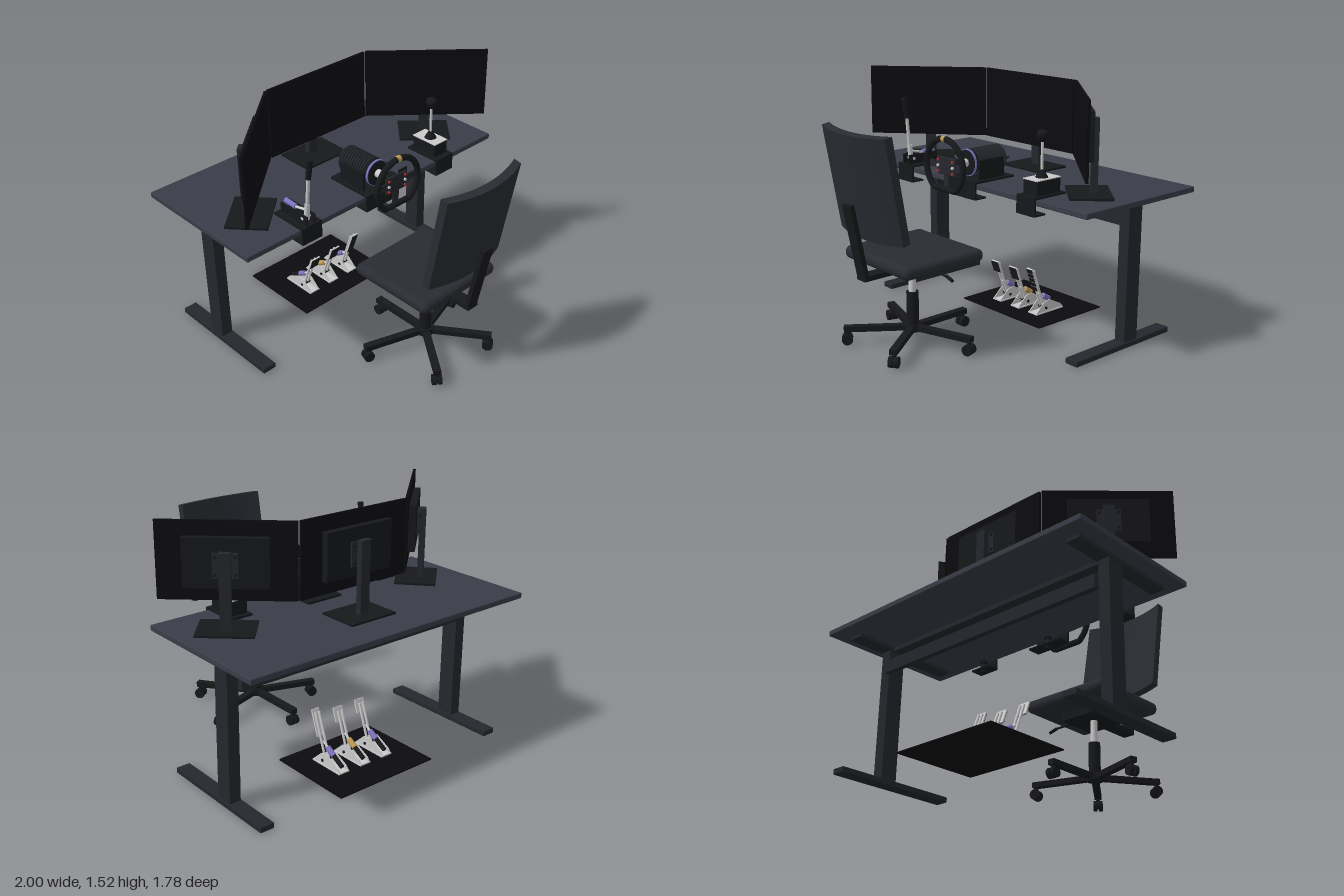
import * as THREE from 'three';
import { RoundedBoxGeometry } from 'three/addons/geometries/RoundedBoxGeometry.js';

const mat = (color, side = THREE.FrontSide) => new THREE.MeshStandardMaterial({ color, side });
const M = {
  desk: mat(0x3a3d48), frame: mat(0x25272d), black: mat(0x17181b), screen: mat(0x0c0c10),
  fabric: mat(0x2a2c33), silver: mat(0xcccccc), purple: mat(0x7d74c0), gold: mat(0xc09a50), red: mat(0xa03030),
};

function add(parent, name, geo, material, x = 0, y = 0, z = 0, rx = 0, ry = 0, rz = 0) {
  const m = new THREE.Mesh(geo, material);
  m.name = name;
  m.position.set(x, y, z);
  m.rotation.set(rx, ry, rz);
  parent.add(m);
  return m;
}
function group(parent, name, x = 0, y = 0, z = 0, ry = 0) {
  const g = new THREE.Group();
  g.name = name;
  g.position.set(x, y, z);
  g.rotation.y = ry;
  parent.add(g);
  return g;
}
// box given by its extents
const span = (p, name, m, x0, x1, y0, y1, z0, z1) =>
  add(p, name, new THREE.BoxGeometry(x1 - x0, y1 - y0, z1 - z0), m, (x0 + x1) / 2, (y0 + y1) / 2, (z0 + z1) / 2);
const cyl = (r, h, r2 = r, n = 24) => new THREE.CylinderGeometry(r2, r, h, n);
// round bar between two points
function rod(p, name, m, a, b, r, r2 = r) {
  const A = new THREE.Vector3(...a), B = new THREE.Vector3(...b), d = B.clone().sub(A);
  const o = add(p, name, cyl(r, d.length(), r2, 16), m);
  o.position.copy(A).add(B).multiplyScalar(0.5);
  o.quaternion.setFromUnitVectors(new THREE.Vector3(0, 1, 0), d.normalize());
  return o;
}

function desk(root) {
  const g = group(root, 'desk');
  add(g, 'deskTop', new RoundedBoxGeometry(2, 0.035, 0.93, 2, 0.006), M.desk, 0, 0.91, -0.425);
  for (const s of [-1, 1]) {
    const leg = group(g, 'deskLeg', s * 0.865);
    span(leg, 'topRail', M.frame, -0.045, 0.045, 0.87, 0.893, -0.79, -0.05);
    span(leg, 'legColumn', M.frame, -0.036, 0.036, 0.035, 0.87, -0.54, -0.43);
    add(leg, 'foot', new RoundedBoxGeometry(0.09, 0.035, 0.815, 2, 0.006), M.frame, 0, 0.0175, -0.4225);
  }
  span(g, 'crossbar', M.frame, -0.83, 0.83, 0.70, 0.78, -0.575, -0.54);
  span(g, 'underRail', M.frame, -0.83, 0.83, 0.865, 0.893, -0.52, -0.45);
}

function monitor(root, x, z, ry) {
  const g = group(root, 'monitor', x, 0, z, ry);
  span(g, 'screen', M.screen, -0.382, 0.382, 1.08, 1.525, -0.008, 0.008);
  span(g, 'screenBack', M.black, -0.235, 0.235, 1.16, 1.44, -0.05, -0.008);
  span(g, 'mountPlate', M.frame, -0.07, 0.07, 1.22, 1.36, -0.062, -0.05);
  span(g, 'standColumn', M.frame, -0.032, 0.032, 0.94, 1.37, -0.1, -0.062);
  for (const s of [-1, 1]) for (const y of [1.24, 1.34])
    add(g, 'mountScrew', cyl(0.008, 0.01, 0.008, 12), M.black, s * 0.055, y, -0.065, Math.PI / 2);
  span(g, 'standBase', M.black, -0.163, 0.163, 0.928, 0.94, -0.18, 0.07);
}

function chair(root) {
  const g = group(root, 'chair', 0, 0, 0.44);
  add(g, 'seat', new RoundedBoxGeometry(0.61, 0.08, 0.58, 5, 0.038), M.fabric, 0, 0.55, -0.015);
  // curved back shell, extruded along its height
  const shape = new THREE.Shape(), W = 0.295, N = 16;
  const bow = (x) => 0.055 * (x / W) ** 2;
  for (let i = 0; i <= N; i++) {
    const x = -W + (2 * W * i) / N;
    if (i) shape.lineTo(x, bow(x)); else shape.moveTo(x, bow(x));
  }
  for (let i = N; i >= 0; i--) {
    const x = -W + (2 * W * i) / N;
    shape.lineTo(x, bow(x) + 0.05);
  }
  const back = new THREE.ExtrudeGeometry(shape, { depth: 0.62, bevelEnabled: false });
  back.rotateX(-Math.PI / 2);
  add(g, 'backrest', back, M.fabric, 0, 0.705, 0.34, 0.178);
  add(g, 'backSupport', new THREE.BoxGeometry(0.08, 0.455, 0.028), M.black, 0, 0.70, 0.392, 0.2);
  span(g, 'backArm', M.black, -0.04, 0.04, 0.467, 0.497, 0.1, 0.365);
  span(g, 'seatPlate', M.black, -0.15, 0.15, 0.467, 0.512, -0.13, 0.14);
  rod(g, 'lever', M.black, [0.14, 0.48, -0.03], [0.29, 0.478, -0.03], 0.007);
  rod(g, 'leverHandle', M.black, [0.28, 0.478, -0.03], [0.345, 0.468, -0.02], 0.01);
  add(g, 'gasLift', cyl(0.022, 0.17), M.silver, 0, 0.39, 0);
  add(g, 'liftSleeve', cyl(0.037, 0.21), M.black, 0, 0.215, 0);
  add(g, 'baseHub', cyl(0.052, 0.045), M.black, 0, 0.0975, 0);
  // five spokes with twin-wheel casters
  for (let i = 0; i < 5; i++) {
    const a = Math.PI + (i * Math.PI * 2) / 5;
    const leg = group(g, 'baseSpoke', 0, 0, 0, a);
    span(leg, 'spokeBar', M.black, -0.022, 0.022, 0.08, 0.113, 0.02, 0.41);
    add(leg, 'casterStem', cyl(0.012, 0.04, 0.012, 12), M.black, 0, 0.07, 0.39);
    for (const s of [-1, 1])
      add(leg, 'casterWheel', cyl(0.033, 0.024), M.black, s * 0.017, 0.033, 0.39, 0, 0, Math.PI / 2);
    add(leg, 'casterAxle', cyl(0.022, 0.02), M.black, 0, 0.036, 0.39, 0, 0, Math.PI / 2);
  }
}

// C-shaped clamp gripping the front edge of the desk top
function clamp(p, w, back) {
  span(p, 'clampTop', M.black, -w, w, 0.928, 0.94, back, 0.055);
  span(p, 'clampFront', M.black, -w, w, 0.83, 0.94, 0.045, 0.057);
  span(p, 'clampLip', M.black, -w, w, 0.83, 0.84, -0.03, 0.057);
  add(p, 'clampScrew', cyl(0.008, 0.075, 0.008, 12), M.frame, 0, 0.855, 0.005);
  add(p, 'clampPad', cyl(0.022, 0.008, 0.022, 16), M.black, 0, 0.886, 0.005);
  add(p, 'clampKnob', cyl(0.018, 0.014, 0.018, 16), M.black, 0, 0.822, 0.005);
}

function steering(root) {
  const g = group(root, 'steering');
  clamp(g, 0.125, -0.26);
  const axial = (name, m, r, z0, z1) => add(g, name, cyl(r, z1 - z0, r, 32), m, 0, 1.035, (z0 + z1) / 2, Math.PI / 2);
  for (const s of [-1, 1]) span(g, 'motorBracket', M.black, s * 0.092 - 0.008, s * 0.092 + 0.008, 0.94, 1.06, -0.2, 0);
  axial('motorCore', M.black, 0.07, -0.24, -0.01);
  for (let i = 0; i < 11; i++) axial('motorFin', M.frame, 0.082, -0.236 + i * 0.02, -0.226 + i * 0.02);
  axial('motorRing', M.purple, 0.083, 0.003, 0.016);
  axial('motorFace', M.black, 0.078, -0.012, 0.02);
  axial('shaft', M.silver, 0.026, 0.015, 0.095);
  axial('quickRelease', M.purple, 0.042, 0.092, 0.118);
  axial('wheelHub', M.black, 0.05, 0.115, 0.165);
  for (const s of [-1, 1]) rod(g, 'cable', M.black, [s * 0.012, 1.0, -0.23], [s * 0.024, 1.03, -0.31], 0.006);
  // flat-bottomed rim
  const pts = [];
  for (let i = 0; i < 40; i++) {
    const a = (i / 40) * Math.PI * 2;
    pts.push(new THREE.Vector3(0.166 * Math.cos(a), Math.max(0.166 * Math.sin(a), -0.135), 0));
  }
  const wheel = group(g, 'steeringWheel', 0, 1.035, 0.187);
  add(wheel, 'rim', new THREE.TubeGeometry(new THREE.CatmullRomCurve3(pts, true), 80, 0.019, 12, true), M.black);
  add(wheel, 'topMarker', new THREE.TorusGeometry(0.166, 0.0205, 12, 6, 0.17), M.gold, 0, 0, 0, 0, 0, Math.PI / 2 - 0.085);
  add(wheel, 'centrePlate', new RoundedBoxGeometry(0.17, 0.11, 0.016, 2, 0.007), M.frame, 0, 0, -0.016);
  for (const s of [-1, 1]) {
    span(wheel, 'spoke', M.frame, s * 0.118 - 0.045, s * 0.118 + 0.045, -0.02, 0.022, -0.022, -0.012);
    span(wheel, 'shiftPaddle', M.black, s * 0.085 - 0.035, s * 0.085 + 0.035, -0.01, 0.05, -0.05, -0.043);
    for (const y of [-0.035, 0, 0.035])
      add(wheel, 'button', cyl(0.009, 0.012, 0.009, 12), y ? M.red : M.silver, s * 0.066, y, -0.005, Math.PI / 2);
  }
  span(wheel, 'lowerSpoke', M.frame, -0.022, 0.022, -0.14, -0.04, -0.022, -0.012);
}

function handbrake(root) {
  const g = group(root, 'handbrake', -0.55);
  clamp(g, 0.073, -0.195);
  for (const s of [-1, 1]) span(g, 'sidePlate', M.black, s * 0.028 - 0.004, s * 0.028 + 0.004, 0.94, 1.0, -0.18, 0.05);
  rod(g, 'damper', M.purple, [0, 1.005, -0.17], [0, 1.0, -0.08], 0.016);
  rod(g, 'damperRod', M.silver, [0, 1.0, -0.08], [0, 1.02, 0.01], 0.008);
  rod(g, 'pivot', M.silver, [-0.035, 0.975, 0.01], [0.035, 0.975, 0.01], 0.01);
  rod(g, 'leverBase', M.silver, [0, 0.96, 0.01], [0, 1.06, 0.02], 0.018, 0.015);
  rod(g, 'lever', M.silver, [0, 1.04, 0.02], [0, 1.25, 0.04], 0.011);
  rod(g, 'handle', M.black, [0, 1.235, 0.038], [0, 1.365, 0.06], 0.016, 0.018);
}

function shifter(root) {
  const g = group(root, 'shifter', 0.55);
  clamp(g, 0.073, -0.195);
  span(g, 'shifterBox', M.black, -0.055, 0.055, 0.94, 1.025, -0.165, 0.02);
  span(g, 'topPlate', M.silver, -0.057, 0.057, 1.025, 1.031, -0.168, 0.022);
  add(g, 'boot', cyl(0.038, 0.045, 0.012), M.black, 0, 1.053, -0.07);
  rod(g, 'stick', M.silver, [0, 1.06, -0.07], [0, 1.25, -0.07], 0.008);
  const knob = [[0, -0.035], [0.014, -0.035], [0.03, -0.008], [0.034, 0.01], [0.027, 0.028], [0, 0.036]];
  add(g, 'knob', new THREE.LatheGeometry(knob.map((p) => new THREE.Vector2(...p)), 24), M.black, 0, 1.27, -0.07);
}

function pedals(root) {
  const g = group(root, 'pedals');
  span(g, 'mat', M.screen, -0.355, 0.355, 0, 0.008, -0.83, -0.27);
  const kinds = [[-0.17, 0.07, 0.21, 0.29, M.purple], [0, 0.07, 0.2, 0.29, M.gold], [0.165, 0.052, 0.16, 0.325, M.purple]];
  for (const [x, w, y0, y1, accent] of kinds) {
    const p = group(g, 'pedal', x);
    span(p, 'pedalBase', M.silver, -0.04, 0.04, 0.008, 0.016, -0.64, -0.4);
    // tapered side cheeks
    const cheek = new THREE.Shape([[0.4, 0.016], [0.64, 0.016], [0.62, 0.04], [0.52, 0.09], [0.47, 0.08]]
      .map((c) => new THREE.Vector2(...c)));
    for (const s of [-1, 1])
      add(p, 'cheek', new THREE.ExtrudeGeometry(cheek, { depth: 0.006, bevelEnabled: false }), M.silver,
        s * 0.032 - 0.003, 0, 0, 0, Math.PI / 2);
    const at = (y) => -0.49 + 0.36 * (y - 0.03); // leaning arm line
    for (const s of [-1, 1]) rod(p, 'arm', M.silver, [s * 0.014, 0.03, at(0.03)], [s * 0.014, y1 - 0.02, at(y1 - 0.02)], 0.008);
    rod(p, 'axle', M.black, [-0.04, 0.04, at(0.04)], [0.04, 0.04, at(0.04)], 0.009);
    rod(p, 'damper', M.black, [0, 0.04, -0.62], [0, 0.085, -0.54], 0.014);
    rod(p, 'damperSpring', accent, [0, 0.082, -0.545], [0, 0.115, -0.49], 0.017);
    rod(p, 'damperRod', M.silver, [0, 0.11, -0.5], [0, 0.14, at(0.14)], 0.007);
    const h = y1 - y0, ym = (y0 + y1) / 2;
    const tilt = Math.atan(0.36);
    const pad = group(p, 'pad', 0, ym, at(ym) + 0.018);
    pad.rotation.x = tilt;
    span(pad, 'padPlate', M.silver, -w / 2, w / 2, -h / 2, h / 2, -0.006, 0.004);
    for (let i = 0; i < 5; i++) {
      const y = -h / 2 + (h * (i + 0.5)) / 5;
      span(pad, 'padGrip', M.black, -w / 2 + 0.003, w / 2 - 0.003, y - h * 0.08, y + h * 0.08, 0.004, 0.008);
    }
  }
}

export function createModel() {
  const root = new THREE.Group();
  root.name = 'racingDesk';
  desk(root);
  monitor(root, 0, -0.5, 0);
  for (const s of [-1, 1]) monitor(root, s * 0.68, -0.245, -s * 0.729);
  chair(root);
  steering(root);
  handbrake(root);
  shifter(root);
  pedals(root);
  return root;
}
